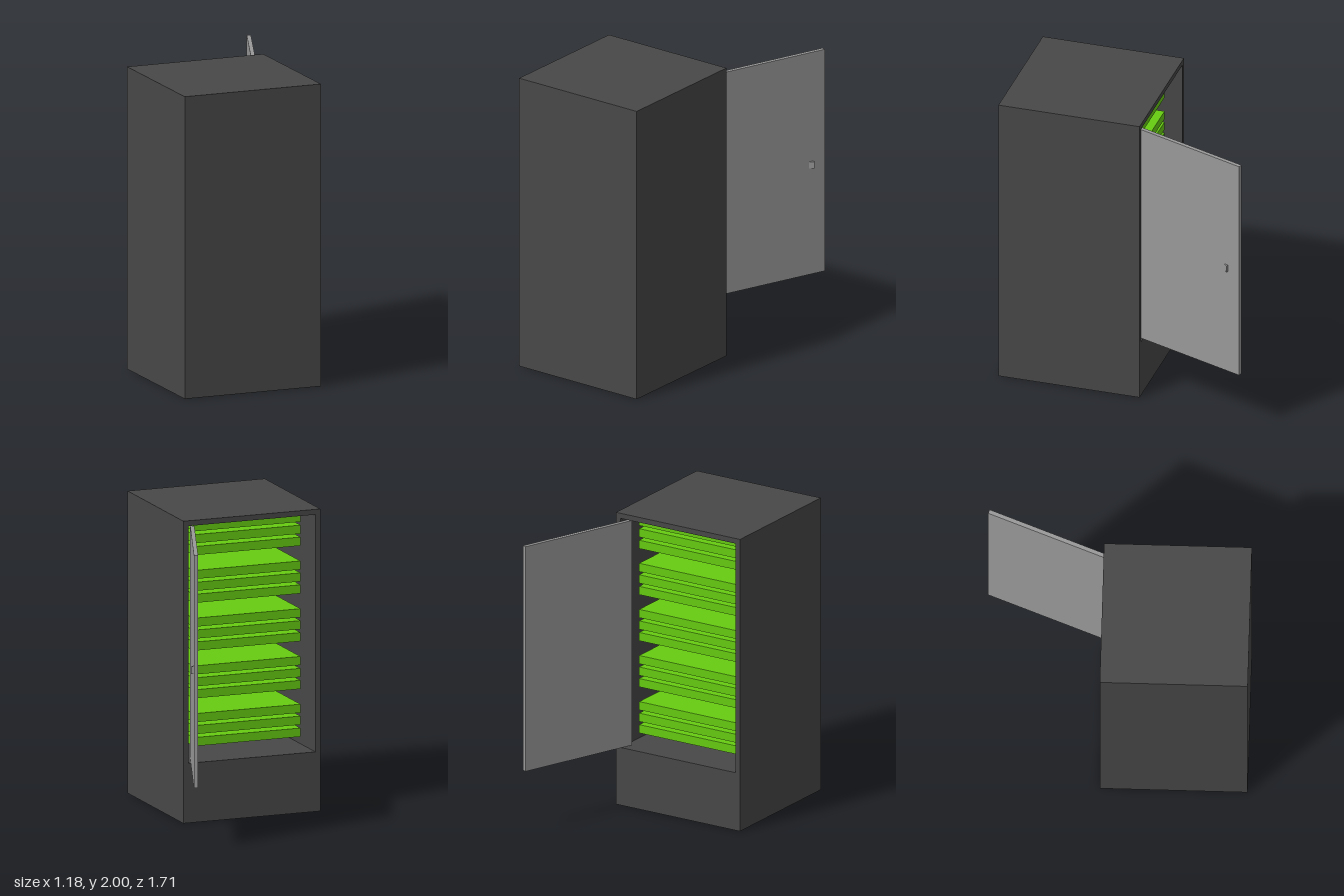
import * as THREE from 'three';

const bodyMat = new THREE.MeshStandardMaterial({ name: 'dark grey cabinet', color: 0x484848 });
const doorMat = new THREE.MeshStandardMaterial({ name: 'light grey door', color: 0x999999 });
const greenMat = new THREE.MeshStandardMaterial({ name: 'green rack unit', color: 0x66cc11 });

// Axis-aligned box given by its minimum and maximum on each axis
function box(name, mat, [x0, x1], [y0, y1], [z0, z1]) {
  const geo = new THREE.BoxGeometry(x1 - x0, y1 - y0, z1 - z0);
  geo.translate((x0 + x1) / 2, (y0 + y1) / 2, (z0 + z1) / 2);
  const mesh = new THREE.Mesh(geo, mat);
  mesh.name = name;
  return mesh;
}

function shapeOf(points) {
  return new THREE.Shape(points.map(([x, y]) => new THREE.Vector2(x, y)));
}

function extruded(name, mat, shape, depth) {
  const mesh = new THREE.Mesh(new THREE.ExtrudeGeometry(shape, { depth, bevelEnabled: false }), mat);
  mesh.name = name;
  return mesh;
}

export function createModel() {
  const model = new THREE.Group();
  model.name = 'rackCabinet';

  // Hollow shell with a solid plinth, open towards the back
  const outline = shapeOf([[-0.595, 0], [0.36, 0], [0.36, 2], [-0.595, 2]]);
  outline.holes.push(shapeOf([[-0.56, 0.395], [-0.56, 1.965], [0.325, 1.965], [0.325, 0.395]]));
  const shell = extruded('cabinetShell', bodyMat, outline, 0.92);
  shell.position.z = -0.1;
  model.add(shell);
  model.add(box('closedWall', bodyMat, [-0.595, 0.36], [0, 2], [0.82, 0.855]));

  // Five stacks of three rack units, every fourth slot left empty
  const rack = new THREE.Group();
  rack.name = 'rackUnits';
  const pitch = 0.079;
  for (let slot = 0; slot < 19; slot++) {
    if (slot % 4 === 3) continue;
    const y = 0.48 + slot * pitch;
    rack.add(box('rackUnit', greenMat, [-0.497, 0.247], [y, y + 0.057], [0, 0.72]));
  }
  model.add(rack);

  // Door swung open on its hinge: local x runs along it, local z points outwards
  const door = new THREE.Group();
  door.name = 'door';
  door.position.set(0.265, 0, -0.055);
  door.rotation.y = THREE.MathUtils.degToRad(69.5);
  door.add(box('doorPanel', doorMat, [0, 0.854], [0.41, 1.95], [0, 0.027]));

  // Wedge-shaped handle
  const handle = extruded('doorHandle', doorMat, shapeOf([[0.731, 0.026], [0.763, 0.026], [0.763, 0.044]]), 0.047);
  handle.geometry.rotateX(Math.PI / 2);
  handle.position.y = 1.193;
  door.add(handle);
  model.add(door);

  return model;
}
